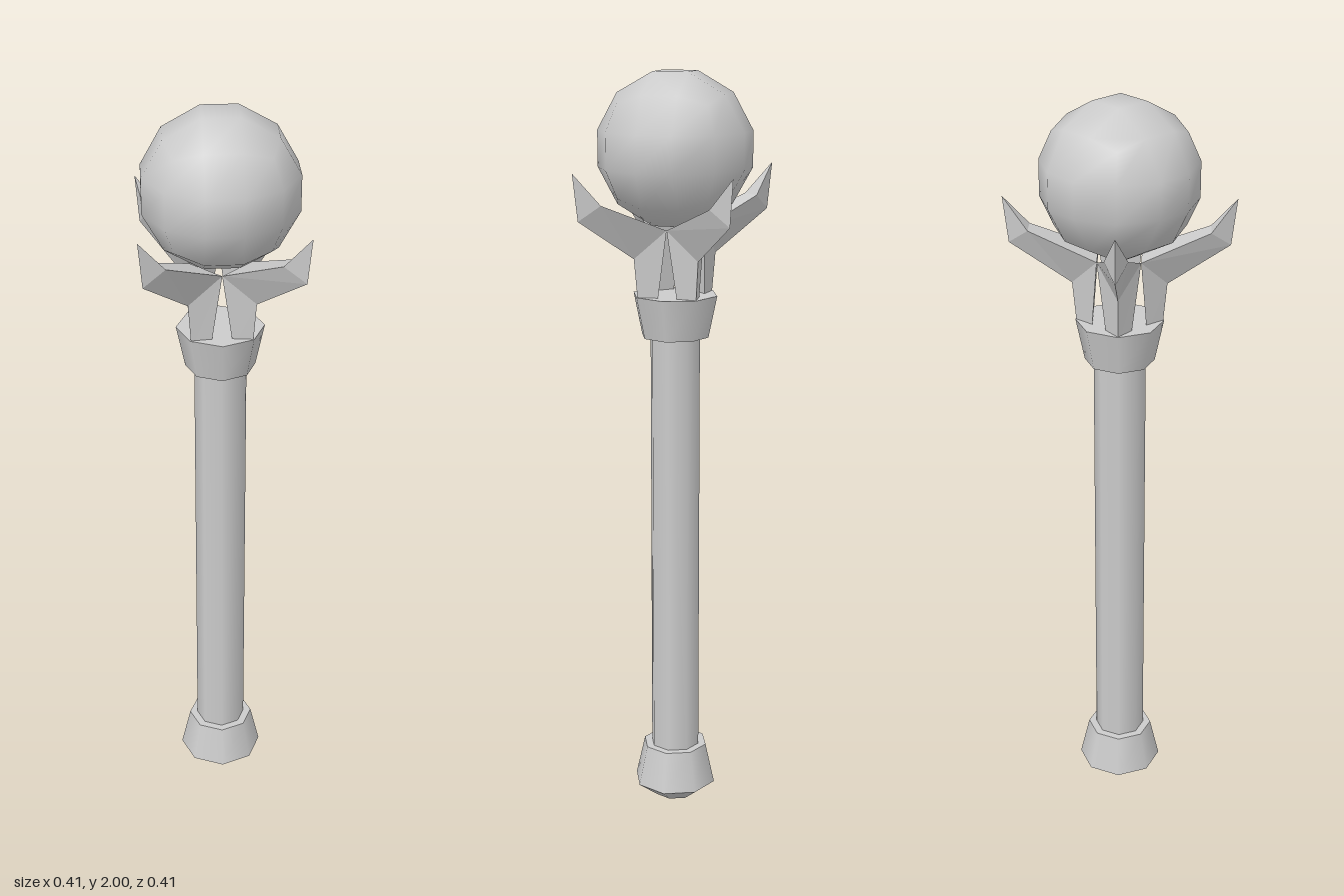
import * as THREE from 'three';
import { mergeVertices } from 'three/addons/utils/BufferGeometryUtils.js';

const SIDES = 8;
const material = new THREE.MeshStandardMaterial({ color: 0xcccccc });
const flatMaterial = new THREE.MeshStandardMaterial({ color: 0xcccccc, flatShading: true });

function addMesh(parent, name, geometry, mat = material) {
  const mesh = new THREE.Mesh(geometry, mat);
  mesh.name = name;
  parent.add(mesh);
  return mesh;
}

// Upright eight-sided tapered section between two heights
function section(rBottom, yBottom, rTop, yTop) {
  const h = yTop - yBottom;
  return new THREE.CylinderGeometry(rTop, rBottom, h, SIDES).translate(0, yBottom + h / 2, 0);
}

// Orb: a 3x3x3 cube pushed out to a sphere, with small middle face panels
function orbGeometry(radius) {
  let geo = new THREE.BoxGeometry(2, 2, 2, 3, 3, 3);
  geo.deleteAttribute('uv');
  geo.deleteAttribute('normal');
  geo = mergeVertices(geo);
  const pos = geo.attributes.position;
  const v = new THREE.Vector3();
  for (let i = 0; i < pos.count; i++) {
    v.fromBufferAttribute(pos, i);
    const inner = v.toArray().filter((c) => Math.abs(c) < 0.9).length;
    if (inner === 2) v.fromArray(v.toArray().map((c) => (Math.abs(c) < 0.9 ? Math.sign(c) * 0.24 : c)));
    v.setLength(radius);
    pos.setXYZ(i, v.x, v.y, v.z);
  }
  geo.computeVertexNormals();
  return geo;
}

// Claw: triangular sections with a flat inner face and an outer ridge, closing at a tip
function clawGeometry() {
  const stations = [
    // inner radius, inner y, half width, ridge radius, ridge y
    [0.07, 1.41, 0.03, 0.108, 1.41],
    [0.055, 1.61, 0.055, 0.12, 1.535],
    [0.226, 1.68, 0.029, 0.276, 1.64],
  ];
  const tip = [0.29, 1.76, 0];
  const rings = stations.map(([r, y, w, ridgeR, ridgeY]) => [[r, y, w], [ridgeR, ridgeY, 0], [r, y, -w]]);
  const out = [];
  rings.forEach((ring, i) => {
    for (let k = 0; k < 3; k++) {
      const n = (k + 1) % 3;
      const next = rings[i + 1];
      if (next) out.push(...ring[k], ...ring[n], ...next[n], ...ring[k], ...next[n], ...next[k]);
      else out.push(...ring[k], ...ring[n], ...tip);
    }
  });
  const geo = new THREE.BufferGeometry();
  geo.setAttribute('position', new THREE.Float32BufferAttribute(out, 3));
  geo.computeVertexNormals();
  return geo;
}

export function createModel() {
  const model = new THREE.Group();
  model.name = 'scepter';

  addMesh(model, 'shaft', section(0.067, 0.1, 0.067, 1.4));
  addMesh(model, 'collar', section(0.09, 1.325, 0.113, 1.435));

  // Pommel with a shallow domed end
  const pommel = new THREE.Group();
  pommel.name = 'pommel';
  model.add(pommel);
  addMesh(pommel, 'pommelBand', section(0.113, 0.06, 0.088, 0.17));
  const dome = [[0, 0], [0.058, 0.018], [0.113, 0.06]].map(([x, y]) => new THREE.Vector2(x, y));
  addMesh(pommel, 'pommelDome', new THREE.LatheGeometry(dome, SIDES));

  // Four claws on the diagonals
  const claws = new THREE.Group();
  claws.name = 'claws';
  model.add(claws);
  const claw = clawGeometry();
  for (let i = 0; i < 4; i++) {
    addMesh(claws, 'claw', claw, flatMaterial).rotation.y = Math.PI / 4 + (i * Math.PI) / 2;
  }

  addMesh(model, 'orb', orbGeometry(0.203)).position.y = 1.808;
  return model;
}
